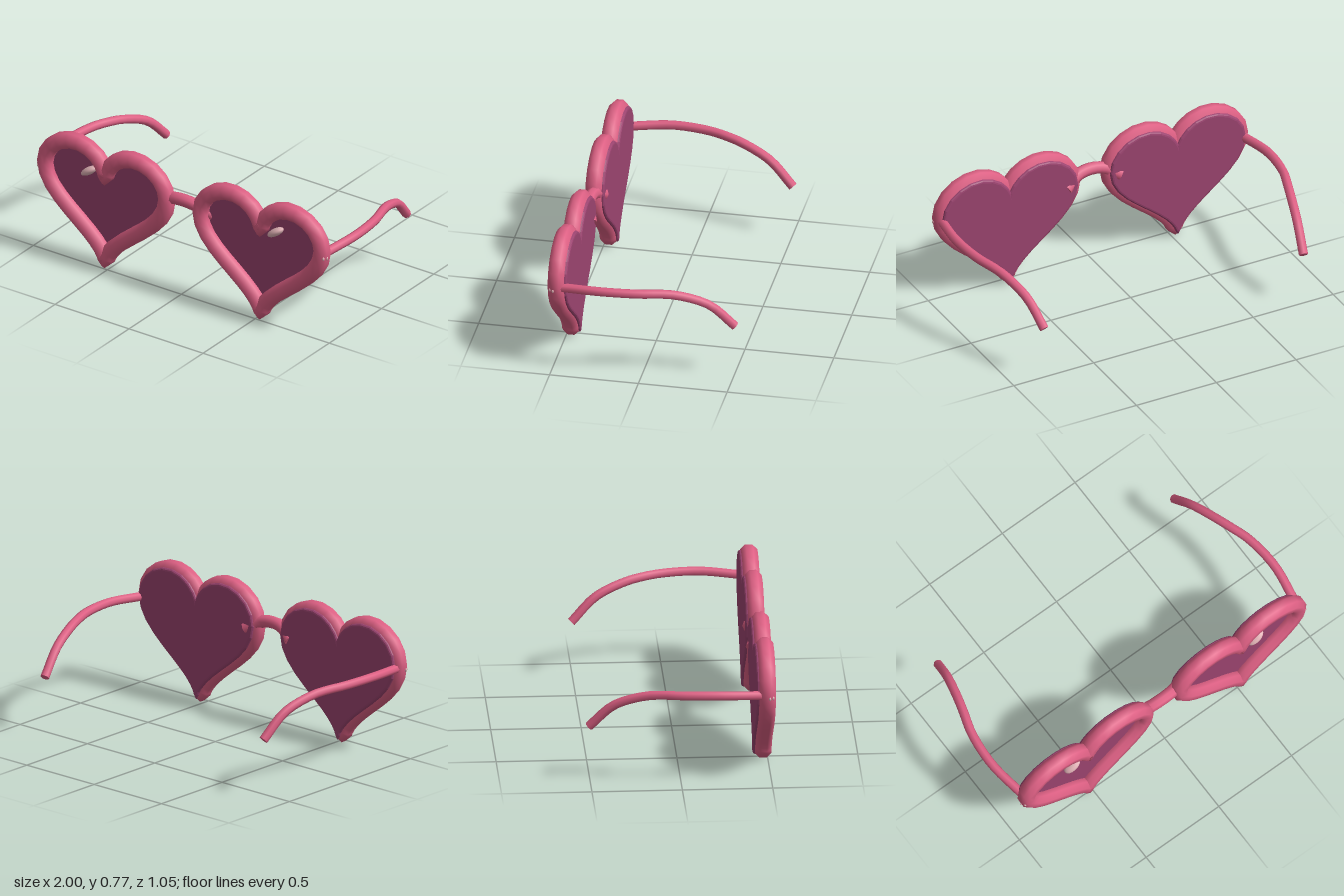
import * as THREE from 'three';

const frameMat = new THREE.MeshStandardMaterial({ color: 0xde6084 });
frameMat.name = 'rose frame';
const lensMat = new THREE.MeshStandardMaterial({ color: 0x9c4470 });
lensMat.name = 'plum lens';
const shineMat = new THREE.MeshStandardMaterial({ color: 0xe3b4b8 });
shineMat.name = 'pale shine';

const LENS_X = 0.525;
const RIM_Z = 0.475;
const STEPS = 44;

// Heart outline, clockwise from the notch
function heartPoints() {
  const pts = [];
  for (let i = 0; i < STEPS; i++) {
    const t = (i / STEPS) * Math.PI * 2;
    const y = 13 * Math.cos(t) - 5 * Math.cos(2 * t) - 2 * Math.cos(3 * t) - Math.cos(4 * t);
    pts.push(new THREE.Vector2(0.0256 * 16 * Math.sin(t) ** 3, 0.469 + 0.02345 * y));
  }
  return pts;
}

// Eight-sided bar swept around the heart, flats facing out and forward
function rimGeometry(radius) {
  const pts = heartPoints();
  const sides = 8;
  const pos = [];
  const idx = [];
  for (let i = 0; i < STEPS; i++) {
    const tangent = pts[(i + 1) % STEPS].clone().sub(pts[(i + STEPS - 1) % STEPS]).normalize();
    for (let j = 0; j < sides; j++) {
      const a = ((j + 0.5) / sides) * Math.PI * 2;
      const out = Math.cos(a) * radius;
      pos.push(pts[i].x - tangent.y * out, pts[i].y + tangent.x * out, Math.sin(a) * radius);
      const i2 = ((i + 1) % STEPS) * sides;
      const j2 = (j + 1) % sides;
      const p = i * sides + j, q = i * sides + j2, r = i2 + j, s = i2 + j2;
      idx.push(p, q, r, q, s, r);
    }
  }
  const geo = new THREE.BufferGeometry();
  geo.setAttribute('position', new THREE.Float32BufferAttribute(pos, 3));
  geo.setIndex(idx);
  geo.computeVertexNormals();
  return geo;
}

function mesh(name, geo, mat) {
  const m = new THREE.Mesh(geo, mat);
  m.name = name;
  return m;
}

// Round rod along a curve with flat ends
function rod(name, points, radius, segments) {
  const curve = new THREE.CatmullRomCurve3(points.map((p) => new THREE.Vector3(...p)));
  const group = new THREE.Group();
  group.name = name;
  group.add(mesh(name + 'Bar', new THREE.TubeGeometry(curve, segments, radius, 8), frameMat));
  for (const end of [0, 1]) {
    const cap = mesh(name + 'Cap', new THREE.CircleGeometry(radius, 8), frameMat);
    const dir = curve.getTangent(end).multiplyScalar(end ? 1 : -1);
    cap.position.copy(curve.getPoint(end));
    cap.quaternion.setFromUnitVectors(new THREE.Vector3(0, 0, 1), dir);
    group.add(cap);
  }
  return group;
}

function ellipsoid(name, position, scale) {
  const m = mesh(name, new THREE.SphereGeometry(1, 16, 10), shineMat);
  m.position.set(...position);
  m.scale.set(...scale);
  return m;
}

export function createModel() {
  const model = new THREE.Group();
  model.name = 'heartGlasses';

  const rimGeo = rimGeometry(0.0495);
  const lensGeo = new THREE.ExtrudeGeometry(new THREE.Shape(heartPoints()), {
    depth: 0.02, bevelEnabled: true, bevelThickness: 0.015, bevelSize: 0.016, bevelSegments: 3,
  });

  for (const [side, s] of [['left', 1], ['right', -1]]) {
    // Heart rim and the lens set into its back
    const rim = mesh(side + 'Rim', rimGeo, frameMat);
    rim.position.set(s * LENS_X, 0, RIM_Z);
    const lens = mesh(side + 'Lens', lensGeo, lensMat);
    lens.position.set(s * LENS_X, 0, 0.43);
    model.add(rim, lens);

    // Slanted glint, tilted the same way on both lenses
    const glint = ellipsoid(side + 'Glint', [s * 0.63, 0.6, 0.49], [0.06, 0.022, 0.033]);
    glint.rotation.z = 0.6;
    model.add(glint);

    // Small studs on the outer rim
    model.add(ellipsoid(side + 'FrontStud', [s * 0.964, 0.54, 0.505], [0.007, 0.011, 0.007]));
    model.add(ellipsoid(side + 'SideStud', [s * 0.976, 0.54, 0.487], [0.007, 0.011, 0.006]));

    // Temple arm, bowed outwards and hooked down at the ear
    model.add(rod(side + 'Temple', [
      [s * 0.942, 0.55, 0.44], [s * 0.974, 0.565, 0.21], [s * 0.955, 0.563, 0.0],
      [s * 0.918, 0.556, -0.12], [s * 0.89, 0.54, -0.21], [s * 0.845, 0.475, -0.37],
      [s * 0.812, 0.342, -0.505],
    ], 0.026, 20));
  }

  // Arched bridge, its ends running through the rims
  model.add(rod('bridge', [
    [-0.17, 0.54, 0.435], [-0.085, 0.588, 0.467], [0, 0.601, 0.475],
    [0.085, 0.588, 0.467], [0.17, 0.54, 0.435],
  ], 0.036, 12));

  return model;
}
